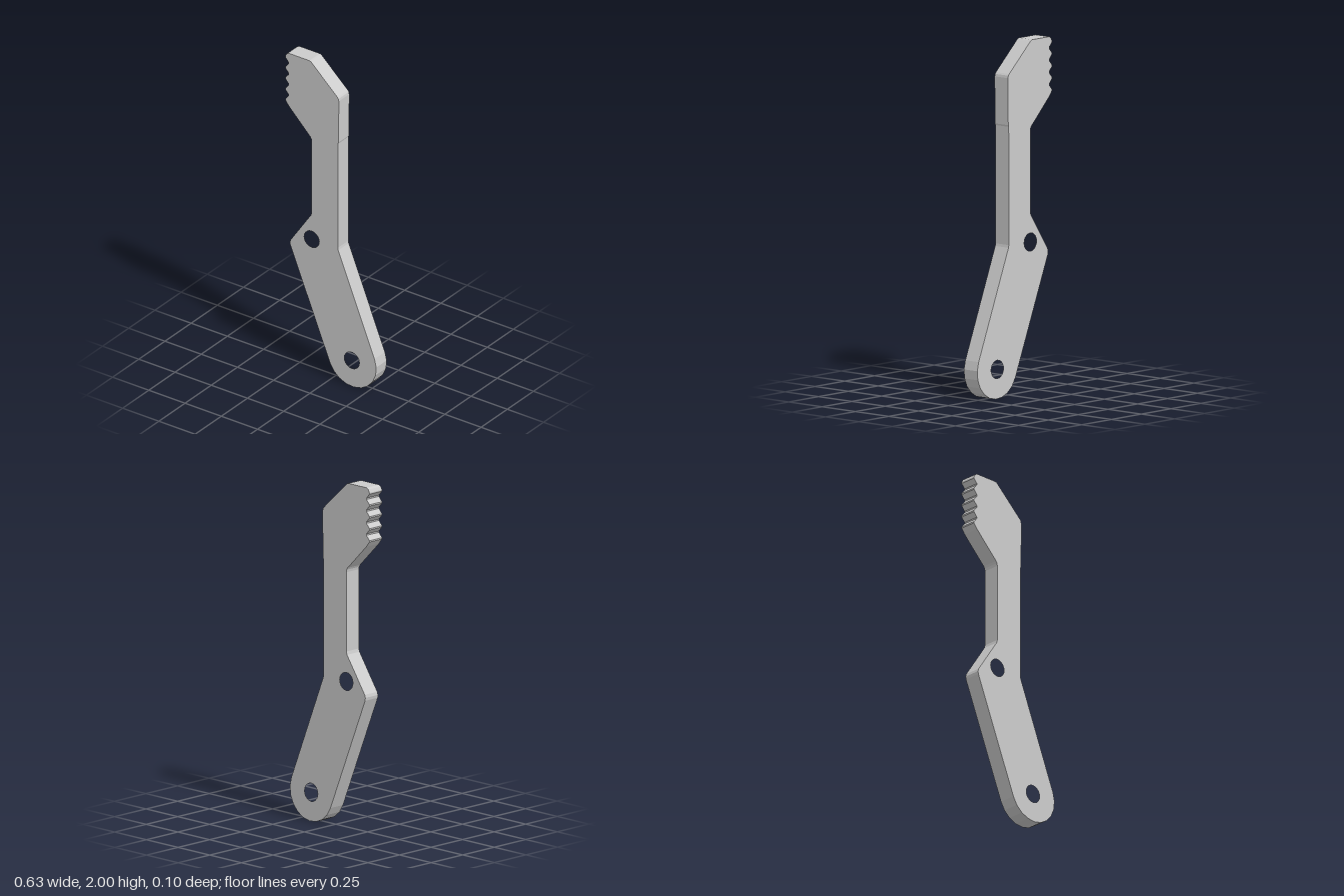
import * as THREE from 'three';

const THICKNESS = 0.1;
const PIVOT = { x: 0.147, y: 0.166, r: 0.166 };

// Round hole as a closed path
function hole(x, y, r, sides = 20) {
  const points = [];
  for (let i = 0; i < sides; i++) {
    const a = (-i / sides) * Math.PI * 2;
    points.push(new THREE.Vector2(x + r * Math.cos(a), y + r * Math.sin(a)));
  }
  return new THREE.Path(points);
}

function leverShape() {
  const shape = new THREE.Shape();
  const line = (...points) => points.forEach(([x, y]) => shape.lineTo(x, y));

  // Head top, sloped shoulder and straight back edge
  shape.moveTo(-0.29, 2);
  line([-0.148, 2], [-0.138, 1.997], [-0.13, 1.99], [0.045, 1.829],
    [0.052, 1.82], [0.055, 1.806], [0.053, 1.54], [0.049, 1.53], [0.048, 0.86], [0.051, 0.845]);

  // Rounded foot of the slanted lower arm
  const start = THREE.MathUtils.degToRad(22);
  shape.absarc(PIVOT.x, PIVOT.y, PIVOT.r, start, start - Math.PI, true);

  // Elbow, neck and underside of the head
  line([-0.28, 0.77], [-0.282, 0.787], [-0.277, 0.804], [-0.137, 1.01], [-0.132, 1.028],
    [-0.132, 1.485], [-0.135, 1.5], [-0.142, 1.512], [-0.29, 1.66]);

  // Toothed gripping edge
  const teeth = 5, pitch = 0.069, firstTip = 1.695;
  for (let i = 0; i < teeth; i++) {
    const y = firstTip + i * pitch;
    line([-0.314, y - 0.004], [-0.314, y + 0.004]);
    if (i < teeth - 1) line([-0.291, y + pitch / 2 - 0.004], [-0.291, y + pitch / 2 + 0.004]);
  }
  line([-0.305, 1.992]);
  shape.closePath();

  // Pivot holes at the foot and elbow
  shape.holes.push(hole(0.145, 0.168, 0.052), hole(-0.132, 0.856, 0.052));
  return shape;
}

export function createModel() {
  const group = new THREE.Group();
  group.name = 'toothedLever';

  // Flat plate cut to the lever outline
  const geometry = new THREE.ExtrudeGeometry(leverShape(), {
    depth: THICKNESS, bevelEnabled: false, curveSegments: 5,
  });
  geometry.translate(0, 0, -THICKNESS / 2);
  const plate = new THREE.Mesh(geometry,
    new THREE.MeshStandardMaterial({ color: 0xcccccc, flatShading: true }));
  plate.name = 'leverPlate';
  group.add(plate);
  return group;
}
